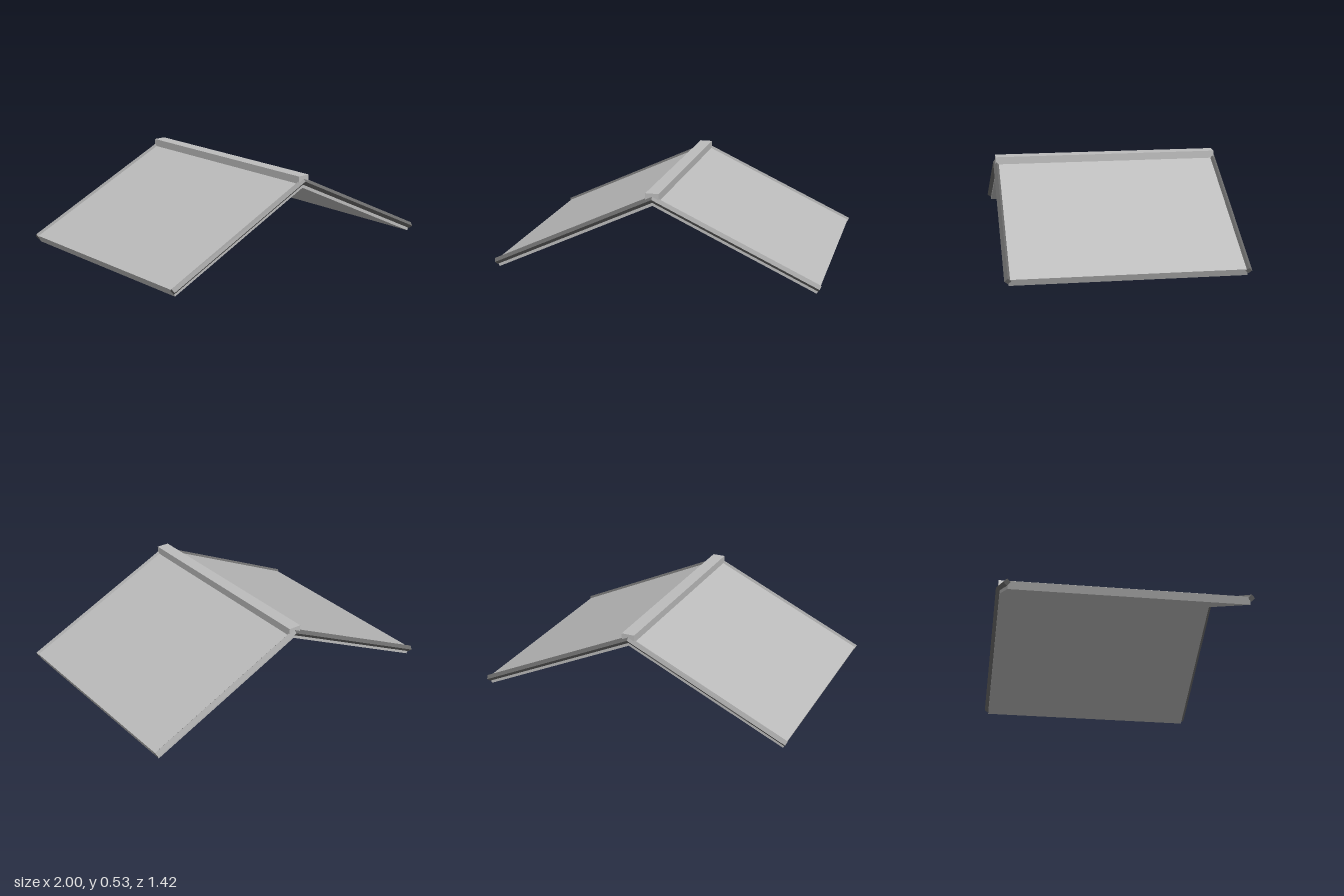
import * as THREE from 'three';

const PITCH = THREE.MathUtils.degToRad(25);
const SIN = Math.sin(PITCH), COS = Math.cos(PITCH), TAN = Math.tan(PITCH);

// Chevron roof: two sloping slabs with square-cut eaves
function roofGeometry() {
  const thick = 0.045, innerX = 0.972, depth = 1.368;
  const innerApex = innerX * TAN;
  const outerX = innerX + thick * SIN, outerY = thick * COS;
  const shape = new THREE.Shape([
    [0, innerApex], [innerX, 0], [outerX, outerY],
    [0, innerApex + thick / COS], [-outerX, outerY], [-innerX, 0],
  ].map(([x, y]) => new THREE.Vector2(x, y)));
  return new THREE.ExtrudeGeometry(shape, { depth, bevelEnabled: false })
    .translate(0, 0, -depth / 2);
}

// Diamond-section bar running from the ridge to the eave, mitred at the ridge
function trimGeometry() {
  const length = 0.9915 / COS;
  const geo = new THREE.CylinderGeometry(0.02, 0.02, length, 4)
    .translate(0, length / 2, 0);
  const pos = geo.attributes.position;
  for (let i = 0; i < pos.count; i++) {
    if (pos.getY(i) < 0.01) pos.setY(i, pos.getX(i) * TAN);
  }
  geo.rotateZ(-(Math.PI / 2 + PITCH));
  const flat = geo.toNonIndexed();
  flat.computeVertexNormals();
  return flat;
}

export function createModel() {
  const model = new THREE.Group();
  model.name = 'gableRoof';

  const panelGrey = new THREE.MeshStandardMaterial({ color: 0xbcbcbc });
  panelGrey.name = 'light grey';
  const trimGrey = new THREE.MeshStandardMaterial({ color: 0x6c6c6c });
  trimGrey.name = 'dark grey';

  const add = (name, geometry, material) => {
    const mesh = new THREE.Mesh(geometry, material);
    mesh.name = name;
    model.add(mesh);
    return mesh;
  };

  add('roofPanels', roofGeometry(), panelGrey);

  // Ridge cap
  add('ridgeBeam', new THREE.BoxGeometry(0.08, 0.05, 1.388), panelGrey)
    .position.set(0, 0.505, 0);

  // Gable edge trims, two on each end
  const trim = trimGeometry();
  for (const [end, z] of [['front', 0.688], ['back', -0.688]]) {
    for (const [side, turn] of [['Left', 0], ['Right', Math.PI]]) {
      const bar = add(`${end}${side}Trim`, trim, trimGrey);
      bar.position.set(0, 0.495, z);
      bar.rotation.y = turn;
    }
  }

  return model;
}
